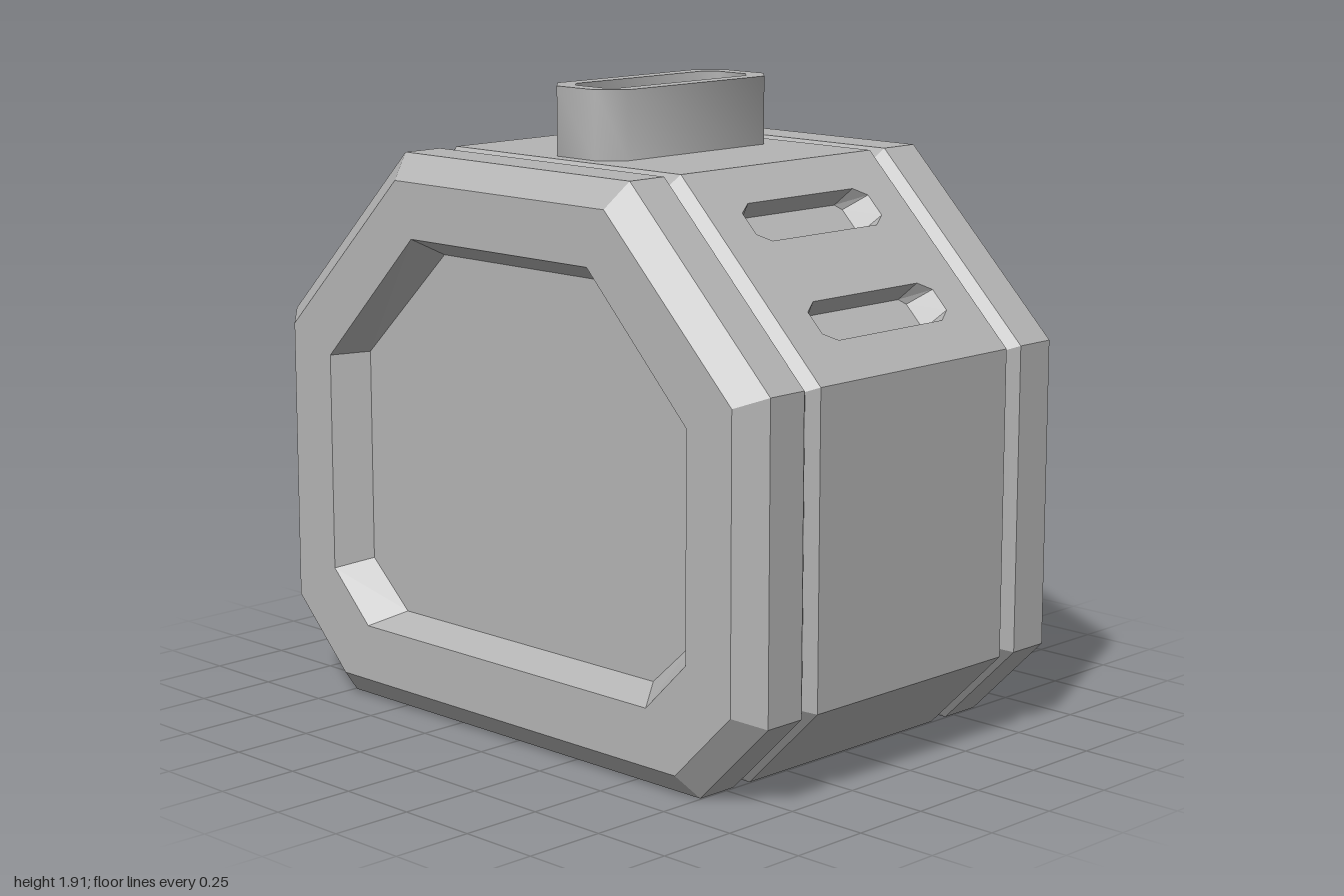
import * as THREE from 'three';
import { toCreasedNormals } from 'three/addons/utils/BufferGeometryUtils.js';

const grey = new THREE.MeshStandardMaterial({ color: 0xb4b4b4 });
grey.name = 'grey';

function add(parent, name, geometry) {
  const mesh = new THREE.Mesh(geometry, grey);
  mesh.name = name;
  parent.add(mesh);
  return mesh;
}

// Skins a run of matching rings with flat faces; skip(k, i) leaves a face open
function loft(rings, capStart, capEnd, skip = () => false) {
  const pos = [];
  const tri = (...pts) => pts.forEach((p) => pos.push(...p));
  const n = rings[0].length;
  for (let k = 0; k < rings.length - 1; k++) {
    for (let i = 0; i < n; i++) {
      if (skip(k, i)) continue;
      const a = rings[k], b = rings[k + 1], j = (i + 1) % n;
      tri(a[i], a[j], b[j]);
      tri(a[i], b[j], b[i]);
    }
  }
  const first = rings[0], last = rings[rings.length - 1];
  for (let i = 1; i < n - 1; i++) {
    if (capStart) tri(first[0], first[i + 1], first[i]);
    if (capEnd) tri(last[0], last[i], last[i + 1]);
  }
  const g = new THREE.BufferGeometry();
  g.setAttribute('position', new THREE.Float32BufferAttribute(pos, 3));
  g.computeVertexNormals();
  return g;
}

// Rectangle with cut corners, counter-clockwise, from half sizes
function cutRect(w, h, cx, cy = cx, oy = 0) {
  return [[w, -h + cy], [w, h - cy], [w - cx, h], [-w + cx, h],
    [-w, h - cy], [-w, -h + cy], [-w + cx, -h], [w - cx, -h]].map(([x, y]) => [x, y + oy]);
}
const vectors = (pts) => pts.map(([x, y]) => new THREE.Vector2(x, y));

// Eight-sided side profile (z, y), inset evenly by d
function profile(d) {
  const t = d * Math.tan(Math.PI / 8);
  const half = [[0.47 - t, 1.705 - d], [1 - d, 1.175 - t], [1 - d, 0.255 + t], [0.745 - t, d]];
  return mirrored(half);
}
function mirrored(half) {
  return [...half, ...half.slice().reverse().map(([z, y]) => [-z, y])];
}

function buildBody(parent) {
  const opening = mirrored([[0.37, 1.463], [0.755, 1.067], [0.755, 0.4], [0.6, 0.246]]);
  const floor = mirrored([[0.337, 1.41], [0.685, 1.075], [0.685, 0.428], [0.53, 0.287]]);
  // Middle to side: panel edge, V groove, outer band, bevel, rim, recess floor
  const half = [
    [0.4, profile(0)], [0.433, profile(0.028)], [0.466, profile(0)], [0.6, profile(0)],
    [0.67, profile(0.075)], [0.67, opening], [0.57, floor],
  ];
  const stations = [...half.slice().reverse().map(([x, p]) => [-x, p]), ...half];
  const rings = stations.map(([x, p]) => p.map(([z, y]) => [x, y, z]));
  const middle = half.length - 1;
  add(parent, 'body', loft(rings, true, true, (k, i) => k === middle && (i === 0 || i === 6)));
}

// Sloped panel with two sunken vents
function buildVentPanel(parent, name, turn) {
  const pivot = new THREE.Group();
  pivot.name = name;
  pivot.rotation.y = turn;
  const slope = new THREE.Group();
  slope.name = name + 'Slope';
  slope.position.set(0, 1.44, 0.735);
  slope.rotation.x = -Math.PI / 4;
  const h = 0.53 / Math.SQRT2;
  const shape = new THREE.Shape(vectors([[-0.4, -h], [0.4, -h], [0.4, h], [-0.4, h]]));
  for (const v of [0.18, -0.173]) {
    const rim = cutRect(0.267, 0.068, 0.045, 0.03, v);
    const base = cutRect(0.217, 0.066, 0.02, 0.02, v);
    shape.holes.push(new THREE.Path(vectors(rim)));
    add(slope, 'vent', loft([rim.map((p) => [...p, 0]), base.map((p) => [...p, -0.07])], false, true));
  }
  add(slope, 'ventPanel', new THREE.ShapeGeometry(shape));
  pivot.add(slope);
  parent.add(pivot);
}

// Raised collar with a shallow well
function buildCollar(parent) {
  const shape = new THREE.Shape(vectors(cutRect(0.355, 0.147, 0.068)));
  const hole = vectors(cutRect(0.3, 0.093, 0.036));
  shape.holes.push(new THREE.Path(hole));
  const wall = new THREE.ExtrudeGeometry(shape, { depth: 0.205, bevelEnabled: false });
  wall.rotateX(-Math.PI / 2);
  add(parent, 'collar', toCreasedNormals(wall, Math.PI / 3)).position.y = 1.705;
  const well = new THREE.ShapeGeometry(new THREE.Shape(hole));
  well.rotateX(-Math.PI / 2);
  add(parent, 'collarWell', well).position.y = 1.84;
}

export function createModel() {
  const model = new THREE.Group();
  model.name = 'canister';
  buildBody(model);
  buildVentPanel(model, 'frontVents', 0);
  buildVentPanel(model, 'backVents', Math.PI);
  buildCollar(model);
  return model;
}
